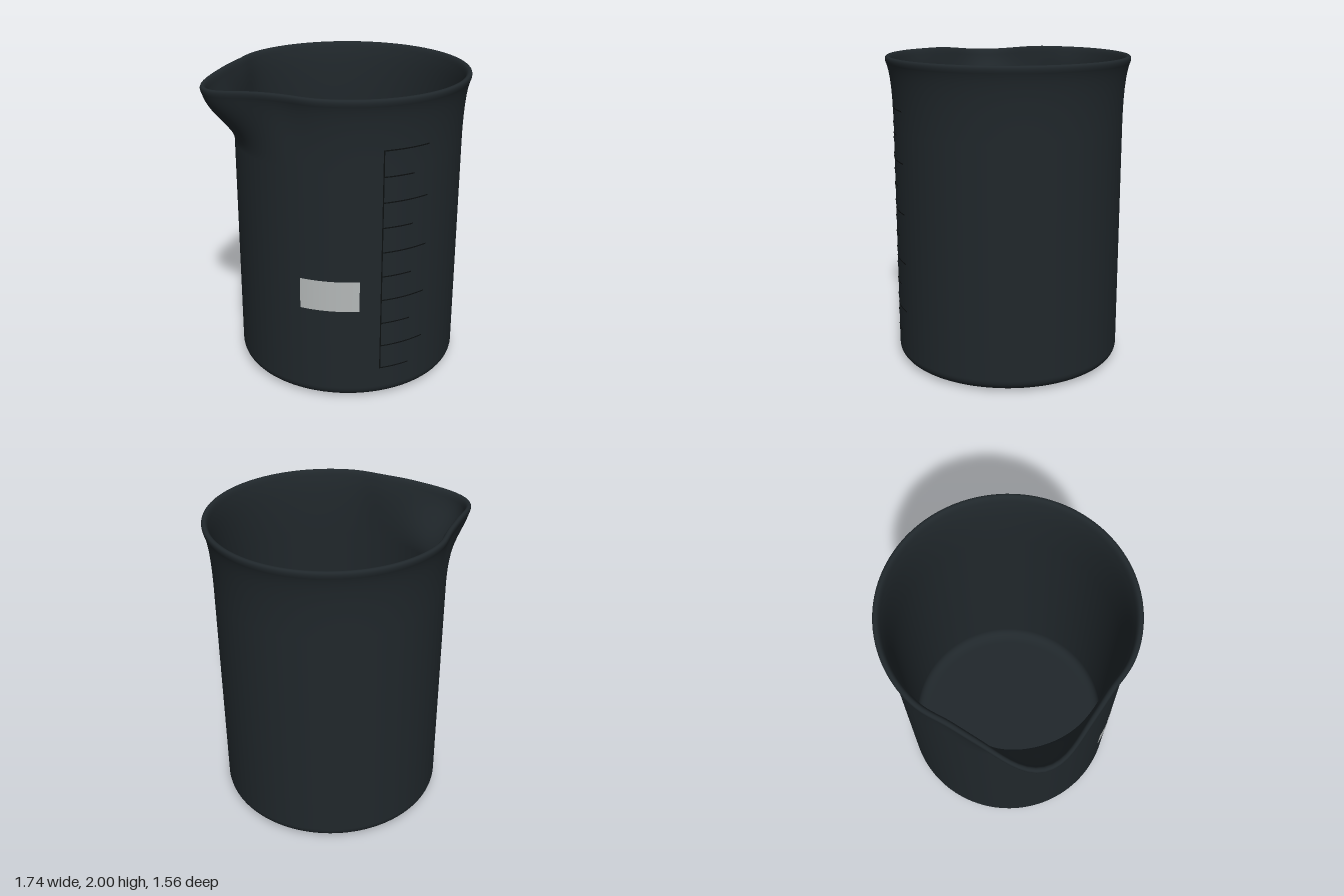
import * as THREE from 'three';
import { mergeVertices } from 'three/addons/utils/BufferGeometryUtils.js';

const AXIS_X = 0.087; // the body sits off centre because of the spout
const RADIUS = 0.738;

// Glass wall profile: outside from the base up, over the rim and down the inside
function glassProfile() {
  const p = new THREE.Path();
  p.moveTo(0, 0);
  p.lineTo(0.62, 0);
  p.bezierCurveTo(0.69, 0, RADIUS, 0.025, RADIUS, 0.08);
  p.lineTo(RADIUS, 1.55);
  p.bezierCurveTo(RADIUS, 1.66, 0.742, 1.86, 0.772, 1.95);
  p.bezierCurveTo(0.785, 1.98, 0.782, 2, 0.765, 2);
  p.bezierCurveTo(0.75, 2, 0.742, 1.985, 0.735, 1.95);
  p.bezierCurveTo(0.712, 1.86, 0.708, 1.66, 0.708, 1.55);
  p.lineTo(0.708, 0.12);
  p.quadraticCurveTo(0.708, 0.04, 0.62, 0.04);
  p.lineTo(0, 0.04);
  return p.getPoints(16);
}

// Pulls the upper wall out towards -x into a pouring spout and dips its lip
function shapeSpout(geometry) {
  const pos = geometry.attributes.position;
  for (let i = 0; i < pos.count; i++) {
    const x = pos.getX(i), y = pos.getY(i), z = pos.getZ(i);
    const lift = THREE.MathUtils.smoothstep(y, 1.55, 1.95);
    if (lift === 0) continue;
    const r = Math.hypot(x, z);
    const angle = THREE.MathUtils.radToDeg(Math.abs(Math.atan2(z, -x)));
    const bulge = Math.exp(-((angle / 18.5) ** 2));
    const pinch = Math.exp(-(((angle - 40) / 10) ** 2));
    const k = (r + lift * (0.178 * bulge - 0.016 * pinch)) / r;
    pos.setXYZ(i, x * k, y - 0.04 * bulge * lift, z * k);
  }
}

// Thin patch wrapped on the front of the wall, given by its front-view extents
function wallPatch(name, x0, x1, y0, y1, material) {
  const r = RADIUS + 0.003;
  const a0 = Math.asin((x0 - AXIS_X) / r), a1 = Math.asin((x1 - AXIS_X) / r);
  const segments = Math.max(1, Math.ceil((a1 - a0) / 0.04));
  const mesh = new THREE.Mesh(
    new THREE.CylinderGeometry(r, r, y1 - y0, segments, 1, true, a0, a1 - a0), material);
  mesh.position.y = (y0 + y1) / 2;
  mesh.name = name;
  return mesh;
}

export function createModel() {
  const model = new THREE.Group();
  model.name = 'beaker';
  const body = new THREE.Group();
  body.name = 'beakerBody';
  body.position.x = AXIS_X;
  model.add(body);

  const glassMat = new THREE.MeshStandardMaterial({ color: 0x20272b });
  const inkMat = new THREE.MeshStandardMaterial({ color: 0x0c0f10, side: THREE.DoubleSide });
  const labelMat = new THREE.MeshStandardMaterial({ color: 0xb4b8b8, side: THREE.DoubleSide });

  // Glass vessel with rolled rim and spout
  let glass = new THREE.LatheGeometry(glassProfile(), 128);
  shapeSpout(glass);
  glass.deleteAttribute('uv');
  glass.deleteAttribute('normal');
  glass = mergeVertices(glass, 1e-5); // closes the seam so shading stays smooth
  glass.computeVertexNormals();
  const vessel = new THREE.Mesh(glass, glassMat);
  vessel.name = 'glassVessel';
  body.add(vessel);

  // Blank writing panel
  body.add(wallPatch('writingPanel', -0.437, -0.115, 0.64, 0.845, labelMat));

  // Graduation scale: one upright line, alternating short and long ticks
  const scale = new THREE.Group();
  scale.name = 'graduationScale';
  body.add(scale);
  const low = 0.217, high = 1.682, half = 0.004;
  scale.add(wallPatch('scaleLine', 0.015, 0.023, low - half, high + half, inkMat));
  for (let i = 0; i < 10; i++) {
    const y = low + (high - low) * i / 9;
    const major = i % 2 === 1;
    scale.add(wallPatch(major ? 'majorTick' : 'minorTick',
      0.023, major ? 0.325 : 0.22, y - half, y + half, inkMat));
  }
  return model;
}
